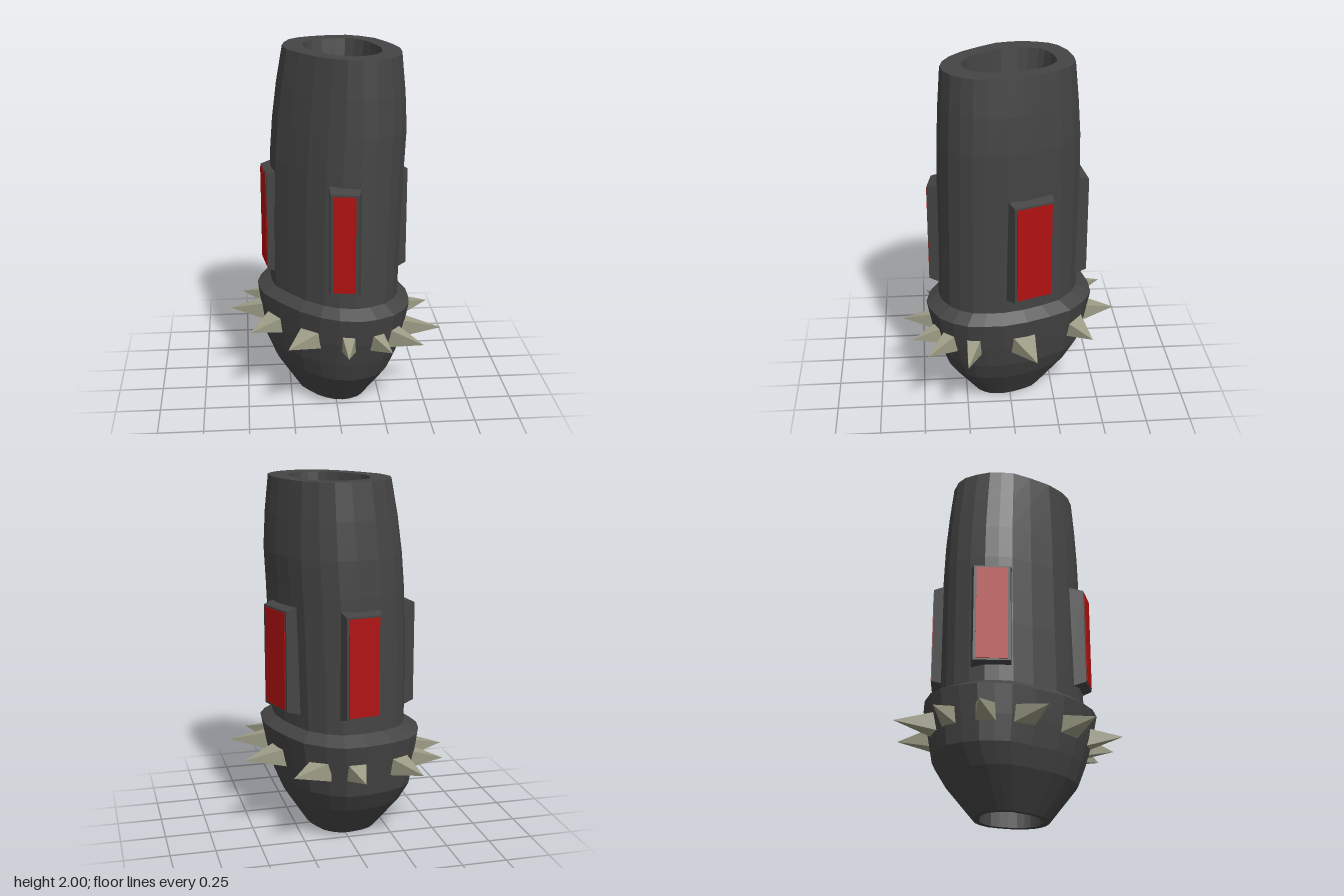
import * as THREE from 'three';

// Skewed oval plan outline (x, z), counterclockwise seen from above
const OUTLINE = [
  [-0.05, -0.47], [-0.2, -0.44], [-0.31, -0.39], [-0.37, -0.33], [-0.41, -0.23], [-0.43, -0.13],
  [-0.42, -0.04], [-0.4, 0.05], [-0.32, 0.17], [-0.21, 0.31], [-0.1, 0.4], [0, 0.45],
  [0.11, 0.47], [0.2, 0.45], [0.3, 0.4], [0.36, 0.33], [0.4, 0.25], [0.41, 0.16],
  [0.41, 0.05], [0.38, -0.08], [0.33, -0.21], [0.27, -0.33], [0.17, -0.42], [0.07, -0.47],
];

const material = (color) => new THREE.MeshStandardMaterial({ color, flatShading: true });

// Skin the outline through levels [y, xMin, xMax, zMin, zMax]
function loft(levels) {
  const n = OUTLINE.length, pos = [], idx = [];
  levels.forEach(([y, x0, x1, z0, z1], j) => {
    OUTLINE.forEach(([x, z], i) => {
      pos.push(x0 + (x1 - x0) * (x + 0.43) / 0.84, y, z0 + (z1 - z0) * (z + 0.47) / 0.94);
      if (j === 0) return;
      const k = (i + 1) % n, a = (j - 1) * n, b = j * n;
      idx.push(a + i, a + k, b + k, a + i, b + k, b + i);
    });
  });
  const g = new THREE.BufferGeometry();
  g.setAttribute('position', new THREE.Float32BufferAttribute(pos, 3));
  g.setIndex(idx);
  g.computeVertexNormals();
  return g;
}

// Block whose front (+z) face is smaller than its back; front face lies on z = 0
function taperedBlock(w, h, d, insetX, insetY) {
  const g = new THREE.BoxGeometry(w, h, d).translate(0, 0, -d / 2);
  const p = g.attributes.position;
  for (let i = 0; i < p.count; i++) {
    if (p.getZ(i) < -d / 2) continue;
    p.setX(i, p.getX(i) * (1 - 2 * insetX / w));
    p.setY(i, p.getY(i) * (1 - 2 * insetY / h));
  }
  g.computeVertexNormals();
  return g;
}

export function createModel() {
  const model = new THREE.Group();
  const dark = material(0x444444), red = material(0xb01010), bone = material(0x9c9c86);
  const add = (parent, name, geometry, mat) => {
    const mesh = new THREE.Mesh(geometry, mat);
    mesh.name = name;
    parent.add(mesh);
    return mesh;
  };

  // Body: lower bore, tapered base, collar, barrel, top recess
  add(model, 'body', loft([
    [0.15, -0.17, 0.14, -0.16, 0.175],
    [0, -0.17, 0.14, -0.16, 0.175],
    [0, -0.2, 0.17, -0.19, 0.21],
    [0.2, -0.34, 0.3, -0.35, 0.36],
    [0.31, -0.39, 0.345, -0.415, 0.4],
    [0.45, -0.41, 0.38, -0.44, 0.44],
    [0.61, -0.43, 0.41, -0.47, 0.47],
    [0.655, -0.355, 0.345, -0.385, 0.4],
    [1, -0.355, 0.355, -0.385, 0.395],
    [1.4, -0.345, 0.37, -0.385, 0.39],
    [1.6, -0.33, 0.38, -0.38, 0.385],
    [1.8, -0.305, 0.37, -0.365, 0.375],
    [2, -0.27, 0.35, -0.345, 0.36],
    [2, -0.16, 0.25, -0.25, 0.25],
    [1.81, -0.14, 0.23, -0.225, 0.23],
    [1.81, 0.045, 0.045, 0, 0],
  ]), dark);

  // Red cap inside the lower bore
  add(model, 'boreCap', loft([
    [0.15, -0.015, -0.015, 0.007, 0.007],
    [0.15, -0.17, 0.14, -0.16, 0.175],
  ]), red);

  // Framed red panels: name, face centre x z, outward normal x z, width
  const panels = [
    ['frontPanel', 0.025, 0.435, -0.17, 0.98, 0.19],
    ['backPanel', -0.04, -0.43, -0.12, -0.99, 0.24],
    ['leftPanel', 0.375, -0.115, 0.94, -0.34, 0.27],
    ['rightPanel', -0.385, -0.06, -0.98, 0.14, 0.24],
  ];
  for (const [name, x, z, nx, nz, w] of panels) {
    const panel = new THREE.Group();
    panel.name = name;
    panel.position.set(x, 1.035, z);
    panel.rotation.y = Math.atan2(nx, nz);
    add(panel, 'frame', taperedBlock(w, 0.63, 0.12, 0.02, 0.035), dark);
    add(panel, 'window', new THREE.BoxGeometry(w - 0.07, 0.54, 0.02), red).position.z = -0.006;
    model.add(panel);
  }

  // Ring of four-sided spikes: base x z, tip x z, half width
  const spikes = [
    [-0.26, -0.41, -0.33, -0.58, 0.05], [0, -0.46, 0, -0.62, 0.05],
    [0.21, -0.37, 0.35, -0.45, 0.055], [0.38, -0.07, 0.56, -0.12, 0.06],
    [0.4, 0.22, 0.585, 0.255, 0.035], [0.335, 0.37, 0.455, 0.47, 0.035],
    [0.22, 0.43, 0.275, 0.555, 0.035], [0.05, 0.45, 0.035, 0.61, 0.035],
    [-0.165, 0.345, -0.28, 0.475, 0.06], [-0.345, 0.12, -0.48, 0.245, 0.06],
    [-0.42, -0.09, -0.59, -0.1, 0.05], [-0.38, -0.29, -0.52, -0.34, 0.04],
  ];
  for (const [bx, bz, tx, tz, half] of spikes) {
    const dx = tx - bx, dz = tz - bz, len = Math.hypot(dx, dz) + 0.05;
    const g = new THREE.ConeGeometry(Math.SQRT2, len, 4, 1).rotateY(Math.PI / 4);
    g.translate(0, -len / 2, 0).rotateX(Math.PI / 2).scale(half * 1.2, 0.055, 1);
    const spike = add(model, 'spike', g, bone);
    spike.position.set(tx, 0.46, tz);
    spike.rotation.y = Math.atan2(dx, dz);
  }
  return model;
}
